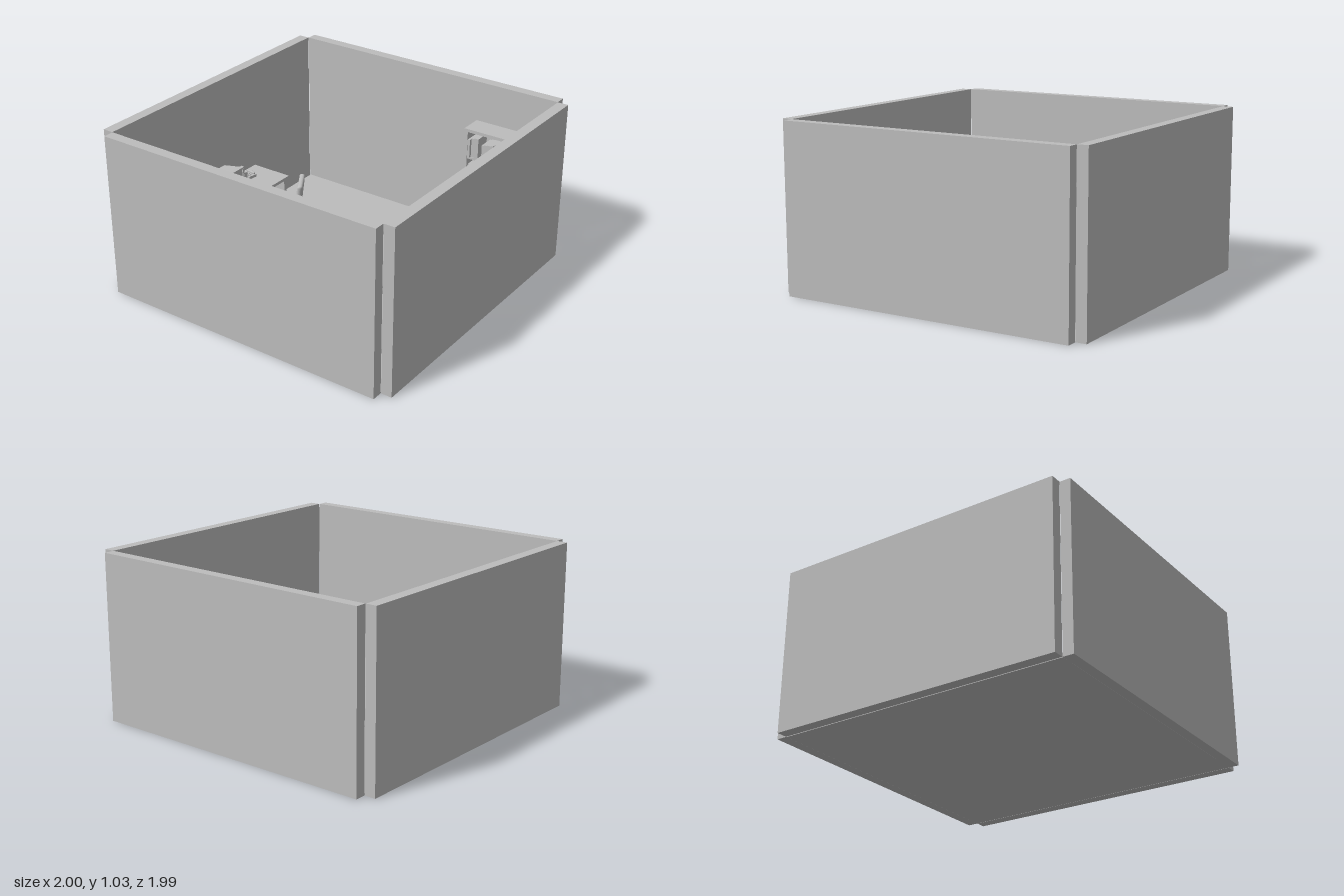
import * as THREE from 'three';
import { RoundedBoxGeometry } from 'three/addons/geometries/RoundedBoxGeometry.js';

const grey = new THREE.MeshStandardMaterial({ color: 0xbcbcbc });
grey.name = 'plain grey';

function add(parent, name, geometry, x = 0, y = 0, z = 0, ry = 0) {
  const mesh = new THREE.Mesh(geometry, grey);
  mesh.name = name;
  mesh.position.set(x, y, z);
  mesh.rotation.y = ry;
  parent.add(mesh);
  return mesh;
}

function group(parent, name, x = 0, y = 0, z = 0, ry = 0) {
  const g = new THREE.Group();
  g.name = name;
  g.position.set(x, y, z);
  g.rotation.y = ry;
  parent.add(g);
  return g;
}

const box = (w, h, d) => new THREE.BoxGeometry(w, h, d);
const rounded = (w, h, d, r) => new RoundedBoxGeometry(w, h, d, 3, r);
const rod = (r, h, r2 = r) => new THREE.CylinderGeometry(r, r2, h, 16);
const tube = (points, r) => new THREE.TubeGeometry(
  new THREE.CatmullRomCurve3(points.map((p) => new THREE.Vector3(...p))), 24, r, 8);

function buildRoom(model) {
  const room = group(model, 'room');
  add(room, 'floor', box(1.855, 0.008, 1.86), 0.002, 0.004, 0);
  for (const s of [-1, 1]) {
    add(room, s < 0 ? 'rightWall' : 'leftWall', box(0.068, 1.03, 1.86), s * 0.966, 0.515, 0);
    add(room, s < 0 ? 'backWall' : 'frontWall', box(1.86, 1.03, 0.066), 0, 0.515, s * 0.964);
  }
  // low oval rug with a softened rim
  const profile = [[0, 0], [1, 0], [1, 0.004], [0.985, 0.007], [0.95, 0.009], [0, 0.01]];
  const rug = add(room, 'rug', new THREE.LatheGeometry(
    profile.map(([r, y]) => new THREE.Vector2(r, y)), 72), 0.007, 0.008, -0.003);
  rug.scale.set(0.335, 1, 0.465);
}

function buildDesk(model) {
  const desk = group(model, 'desk', -0.775, 0, 0.036);
  add(desk, 'deskTop', box(0.28, 0.02, 0.69), 0, 0.325, 0);
  for (const s of [-1, 1]) add(desk, 'deskSide', box(0.25, 0.307, 0.02), 0, 0.1615, s * 0.325);
  add(desk, 'deskBackPanel', box(0.015, 0.22, 0.63), -0.11, 0.205, 0);

  const items = group(model, 'deskItems', 0, 0.335, 0);

  // deep monitor: square front bezel and a tapered housing behind it
  const monitor = group(items, 'monitor', -0.775, 0, 0.052);
  add(monitor, 'monitorBase', rod(0.035, 0.012, 0.045), -0.05, 0.006, 0);
  add(monitor, 'monitorNeck', rod(0.018, 0.02), -0.05, 0.02, 0);
  add(monitor, 'monitorBezelTop', box(0.024, 0.012, 0.14), 0, 0.139, 0);
  add(monitor, 'monitorBezelBottom', box(0.024, 0.016, 0.14), 0, 0.033, 0);
  for (const s of [-1, 1]) add(monitor, 'monitorBezelSide', box(0.024, 0.09, 0.012), 0, 0.087, s * 0.064);
  add(monitor, 'screen', box(0.012, 0.094, 0.118), -0.002, 0.087, 0);
  const housing = box(0.125, 0.11, 0.13);
  const pos = housing.attributes.position;
  for (let i = 0; i < pos.count; i++) {
    if (pos.getX(i) < 0) {
      pos.setY(i, pos.getY(i) * 0.7);
      pos.setZ(i, pos.getZ(i) * 0.72);
    }
  }
  housing.computeVertexNormals();
  add(monitor, 'monitorHousing', housing, -0.07, 0.085, 0);

  // keyboard with rows of keys
  const keyboard = group(items, 'keyboard', -0.712, 0, 0.048);
  add(keyboard, 'keyboardBody', box(0.068, 0.01, 0.18), 0, 0.005, 0);
  for (let r = 0; r < 4; r++) {
    for (let c = 0; c < 12; c++) {
      add(keyboard, 'key', box(0.011, 0.005, 0.011), -0.023 + r * 0.0145, 0.0125, -0.0798 + c * 0.0145);
    }
  }

  // mouse and its cable
  const mouse = add(items, 'mouse', new THREE.SphereGeometry(1, 20, 12, 0, Math.PI * 2, 0, Math.PI / 2), -0.71, 0, -0.092);
  mouse.scale.set(0.022, 0.015, 0.014);
  add(items, 'mouseCable', tube([[-0.73, 0.004, -0.092], [-0.77, 0.004, -0.1], [-0.83, 0.004, -0.102], [-0.9, 0.004, -0.08]], 0.002));

  // speakers with cables curving round the monitor
  for (const [x, z, s] of [[-0.812, -0.068, -1], [-0.797, 0.156, 1]]) {
    const speaker = group(items, 'speaker', x, 0, z, s * 0.25);
    add(speaker, 'speakerBox', box(0.035, 0.075, 0.035), 0, 0.0375, 0);
    for (const [y, r] of [[0.024, 0.012], [0.055, 0.008]]) {
      add(speaker, 'speakerCone', rod(r, 0.004), 0.0185, y, 0).rotation.z = Math.PI / 2;
    }
    const end = 0.045 + s * 0.03;
    add(items, 'speakerCable', tube([[x - 0.015, 0.01, z], [x - 0.06, 0.004, z + s * 0.012],
      [-0.905, 0.004, (z + end) / 2 + s * 0.02], [-0.924, 0.003, end], [-0.924, -0.12, end]], 0.003));
  }

  // computer case
  const tower = group(items, 'computerCase', -0.802, 0, 0.239);
  add(tower, 'caseBody', box(0.155, 0.17, 0.07), -0.006, 0.085, 0);
  add(tower, 'caseFront', rounded(0.02, 0.17, 0.07, 0.008), 0.073, 0.085, 0);
  for (const y of [0.15, 0.125]) add(tower, 'driveBay', box(0.004, 0.018, 0.054), 0.084, y, 0);
  add(tower, 'powerButton', rod(0.007, 0.004), 0.084, 0.08, 0).rotation.z = Math.PI / 2;
  add(tower, 'caseCable', tube([[-0.08, 0.03, -0.02], [-0.105, 0.025, -0.02], [-0.124, 0, -0.024], [-0.124, -0.15, -0.024]], 0.003));

  // desk telephone
  const phone = group(items, 'telephone', -0.842, 0, -0.154, -0.15);
  add(phone, 'phoneBody', box(0.08, 0.018, 0.06), 0, 0.009, 0);
  add(phone, 'handset', rounded(0.072, 0.014, 0.016, 0.005), 0, 0.026, -0.019);
  for (let i = 0; i < 9; i++) {
    add(phone, 'phoneKey', box(0.01, 0.004, 0.007), -0.01 + Math.floor(i / 3) * 0.015, 0.02, 0.002 + (i % 3) * 0.011);
  }
}

function buildChair(model) {
  const chair = group(model, 'officeChair', -0.475, 0.01, -0.008, -1.01);
  // five legged base on casters
  for (let i = 0; i < 5; i++) {
    const arm = group(chair, 'baseLeg', 0, 0, 0, i * Math.PI * 0.4 - 0.25);
    add(arm, 'leg', box(0.02, 0.016, 0.14), 0, 0.042, 0.075).rotation.x = 0.08;
    add(arm, 'caster', rod(0.014, 0.022), 0, 0.014, 0.14).rotation.z = Math.PI / 2;
  }
  add(chair, 'hub', rod(0.022, 0.04), 0, 0.045, 0);
  add(chair, 'gasColumn', rod(0.012, 0.13), 0, 0.12, 0);
  add(chair, 'seatPlate', box(0.1, 0.014, 0.1), 0, 0.182, 0);
  add(chair, 'seat', rounded(0.2, 0.04, 0.21, 0.018), 0, 0.207, 0.005);

  // armrests on bent supports
  for (const s of [-1, 1]) {
    add(chair, 'armSupport', tube([[s * 0.05, 0.188, -0.01], [s * 0.105, 0.19, -0.01], [s * 0.116, 0.22, -0.01], [s * 0.116, 0.298, -0.01]], 0.008));
    add(chair, 'armrest', rounded(0.03, 0.018, 0.12, 0.008), s * 0.114, 0.303, -0.005);
  }

  // curved, slightly reclined backrest
  add(chair, 'backSupport', tube([[0, 0.185, -0.04], [0, 0.185, -0.12], [0, 0.22, -0.146], [0, 0.34, -0.15]], 0.01));
  const back = new RoundedBoxGeometry(0.19, 0.22, 0.034, 6, 0.016);
  const p = back.attributes.position;
  for (let i = 0; i < p.count; i++) {
    p.setZ(i, p.getZ(i) + 2 * p.getX(i) ** 2 - 0.12 * p.getY(i));
  }
  back.computeVertexNormals();
  add(chair, 'backrest', back, 0, 0.36, -0.138);
}

function buildBookcase(model) {
  const shelf = group(model, 'bookcase', 0.573, 0.008, -0.846);
  add(shelf, 'bookcaseTop', box(0.366, 0.02, 0.15), 0, 0.757, 0);
  add(shelf, 'bookcaseBack', box(0.34, 0.747, 0.01), 0, 0.3735, -0.068);
  for (const s of [-1, 1]) add(shelf, 'bookcaseSide', box(0.016, 0.747, 0.14), s * 0.168, 0.3735, 0);
  const levels = [0.03, 0.21, 0.39, 0.57];
  add(shelf, 'plinth', box(0.32, 0.025, 0.12), 0, 0.0125, 0);
  levels.forEach((y, row) => {
    add(shelf, 'shelfBoard', box(0.32, 0.014, 0.132), 0, y, 0);
    // books of varied width, height and depth
    let x = -0.155;
    for (let i = 0; x < 0.11; i++) {
      const k = (i * 7 + row * 5) % 6;
      const w = 0.016 + (k % 3) * 0.006;
      const h = 0.1 + k * 0.007;
      add(shelf, 'book', box(w, h, 0.105), x + w / 2, y + 0.007 + h / 2, 0.008 + (k % 4) * 0.005);
      x += w + 0.002 + (k === 5 ? 0.02 : 0);
    }
  });
}

export function createModel() {
  const model = new THREE.Group();
  model.name = 'officeRoom';
  buildRoom(model);
  buildDesk(model);
  buildChair(model);
  buildBookcase(model);
  return model;
}
